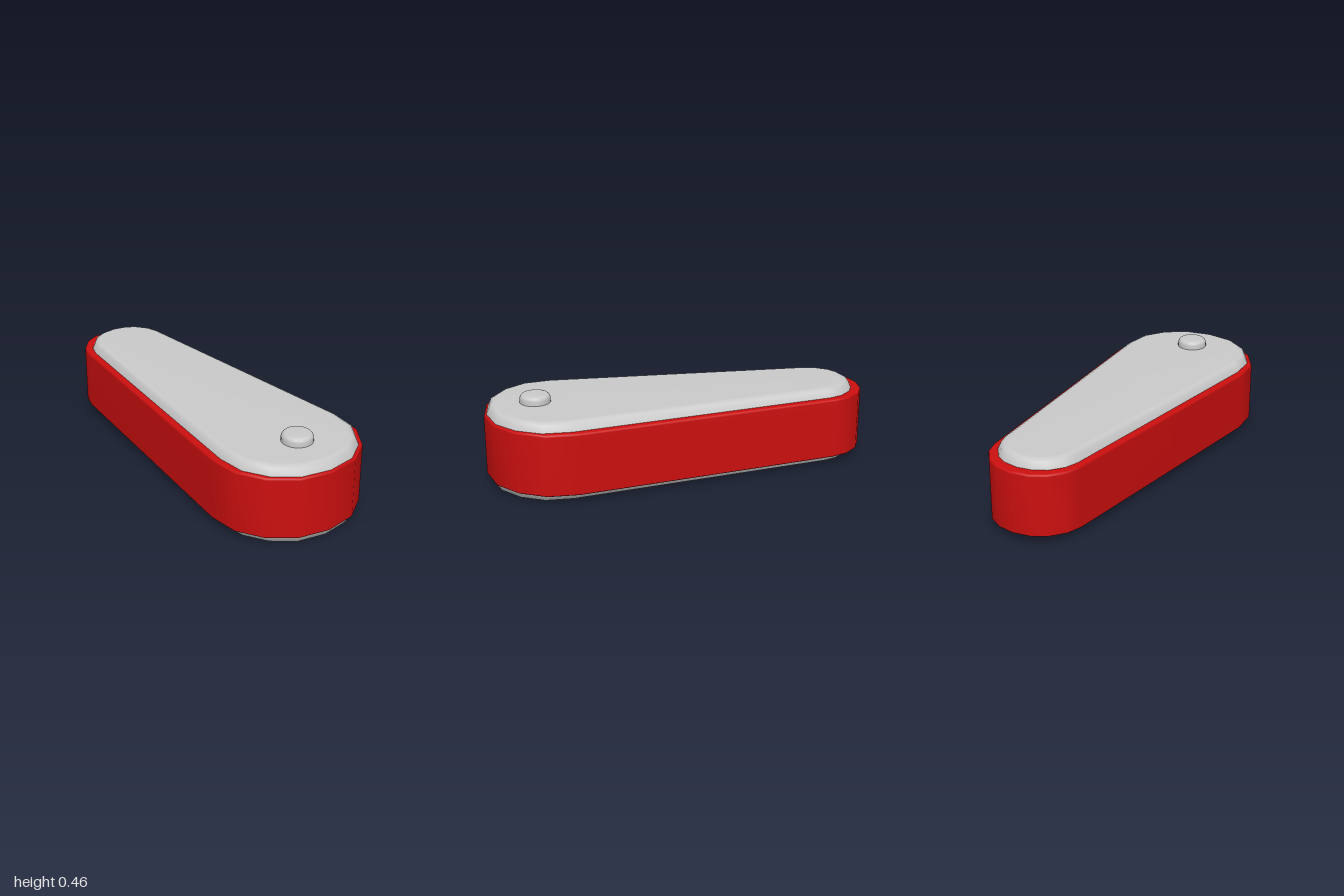
import * as THREE from 'three';

const red = new THREE.MeshStandardMaterial({ color: 0xcc0f0f, side: THREE.DoubleSide });
red.name = 'red';
const grey = new THREE.MeshStandardMaterial({ color: 0xcacaca, side: THREE.DoubleSide });
grey.name = 'light grey';

// Half outline in plan (x, z), from the narrow end to the wide end
const half = [
  [-1, 0], [-0.985, 0.09], [-0.945, 0.16], [-0.87, 0.22], [-0.79, 0.245],
  [0.59, 0.386], [0.75, 0.37], [0.88, 0.29], [0.97, 0.165], [1, 0],
];
const outline = [...half, ...half.slice(1, -1).reverse().map(([x, z]) => [x, -z])];

// Outline moved inwards by d and shifted along x
function inset(d, shift) {
  const n = outline.length;
  return outline.map(([x, z], i) => {
    const [px, pz] = outline[(i + n - 1) % n];
    const [nx, nz] = outline[(i + 1) % n];
    const len = Math.hypot(nx - px, nz - pz);
    return [x + ((nz - pz) / len) * d + shift, z - ((nx - px) / len) * d];
  });
}

// Skin through rings listed from top to bottom as [inset, y, shift]
function loft(rings, closeTop) {
  const n = outline.length;
  const pos = [];
  const index = [];
  rings.forEach(([d, y, shift = 0]) => {
    inset(d, shift).forEach(([x, z]) => pos.push(x, y, z));
  });
  for (let r = 0; r < rings.length - 1; r++) {
    for (let j = 0; j < n; j++) {
      const k = (j + 1) % n;
      const a = r * n + j, b = a + n, c = (r + 1) * n + k, d = r * n + k;
      index.push(a, b, c, a, c, d);
    }
  }
  if (closeTop) {
    const centre = pos.length / 3;
    pos.push(0.1, rings[0][1], 0);
    for (let j = 0; j < n; j++) index.push(centre, j, (j + 1) % n);
  }
  const g = new THREE.BufferGeometry();
  g.setAttribute('position', new THREE.Float32BufferAttribute(pos, 3));
  g.setIndex(index);
  g.computeVertexNormals();
  return g;
}

function add(group, name, geometry, material) {
  const mesh = new THREE.Mesh(geometry, material);
  mesh.name = name;
  group.add(mesh);
  return mesh;
}

export function createModel() {
  const group = new THREE.Group();
  group.name = 'taperedCase';

  // Red side band with slightly rounded edges and inward ledges
  add(group, 'sideBand', loft([
    [0.037, 0.367, 0.02], [0.009, 0.367], [0.002, 0.363], [0, 0.355],
    [0, 0.055], [0.002, 0.049], [0.009, 0.045], [0.037, 0.045, 0.02],
  ]), red);

  // Bevelled top cover
  add(group, 'topCover', loft([
    [0.085, 0.413, 0.02], [0.065, 0.41, 0.02], [0.047, 0.4, 0.02], [0.033, 0.367, 0.02],
  ], true), grey);

  // Bevelled bottom rim, open underneath
  add(group, 'bottomRim', loft([
    [0.033, 0.045, 0.02], [0.047, 0.013, 0.02], [0.065, 0.003, 0.02], [0.085, 0, 0.02],
  ]), grey);

  // Round button on the wide end
  const profile = [
    [0.078, 0.405], [0.078, 0.435], [0.074, 0.446], [0.066, 0.454], [0.055, 0.457], [0, 0.457],
  ].map(([r, y]) => new THREE.Vector2(r, y));
  add(group, 'button', new THREE.LatheGeometry(profile, 28), grey).position.x = 0.74;

  return group;
}
